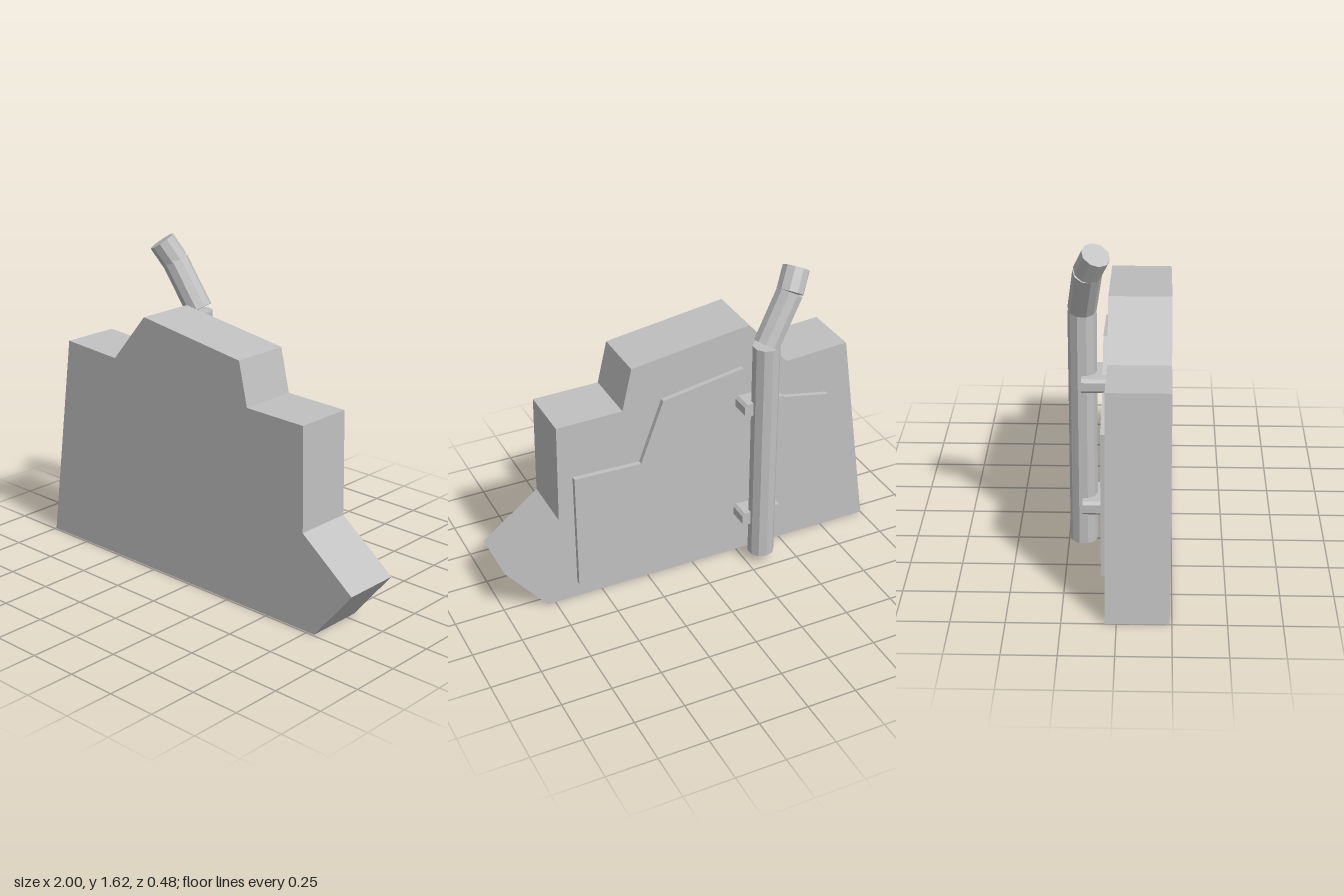
import * as THREE from 'three';

const grey = new THREE.MeshStandardMaterial({ color: 0xc0c0c0, flatShading: true });
grey.name = 'plain grey';

// Flat outline in x/y, given thickness from zBack to zFront
function slab(name, points, zBack, zFront) {
  const shape = new THREE.Shape(points.map(([x, y]) => new THREE.Vector2(x, y)));
  const geometry = new THREE.ExtrudeGeometry(shape, { depth: zFront - zBack, bevelEnabled: false });
  geometry.translate(0, 0, zBack);
  const mesh = new THREE.Mesh(geometry, grey);
  mesh.name = name;
  return mesh;
}

// Ten-sided capped cylinder between two points
function pipe(name, from, to, radius) {
  const a = new THREE.Vector3(...from), b = new THREE.Vector3(...to);
  const mesh = new THREE.Mesh(new THREE.CylinderGeometry(radius, radius, a.distanceTo(b), 10), grey);
  mesh.position.copy(a).add(b).multiplyScalar(0.5);
  mesh.quaternion.setFromUnitVectors(new THREE.Vector3(0, 1, 0), b.sub(a).normalize());
  mesh.name = name;
  return mesh;
}

export function createModel() {
  const model = new THREE.Group();
  model.name = 'panelWithPipe';

  // Thick stepped body
  model.add(slab('body', [
    [-1, 0], [0.79, 0], [1, 0.26], [0.71, 0.485], [0.7, 1], [0.365, 1.005],
    [0.315, 1.22], [-0.3, 1.305], [-0.51, 1.055], [-0.845, 1.075],
  ], -0.053, 0.24));

  // Thin raised plate on the back
  model.add(slab('backPlate', [
    [-0.74, 0.09], [0.63, 0.09], [0.63, 0.71], [0.285, 0.7], [0.165, 1.02],
    [-0.26, 1.09], [-0.43, 0.88], [-0.74, 0.82],
  ], -0.078, -0.05));

  // Upright pipe with a two-piece bent outlet
  const px = -0.33, pz = -0.172, r = 0.067;
  const bend = [[px, 1.255, pz], [-0.463, 1.485, -0.14], [-0.515, 1.583, -0.1]];
  model.add(pipe('uprightPipe', [px, 0.055, pz], [px, 1.25, pz], r));
  model.add(pipe('bentPipe', bend[0], bend[1], r));
  model.add(pipe('pipeOutlet', bend[1], bend[2], r));

  // Chamfered clamps holding the pipe to the plate
  const w = 0.11, h = 0.035, c = 0.014;
  for (const [name, y] of [['lowerClamp', 0.27], ['upperClamp', 0.91]]) {
    const clamp = slab(name, [
      [-w + c, -h], [w - c, -h], [w, -h + c], [w, h - c],
      [w - c, h], [-w + c, h], [-w, h - c], [-w, -h + c],
    ], -0.175, -0.06);
    clamp.position.set(px, y, 0);
    model.add(clamp);
  }
  return model;
}
